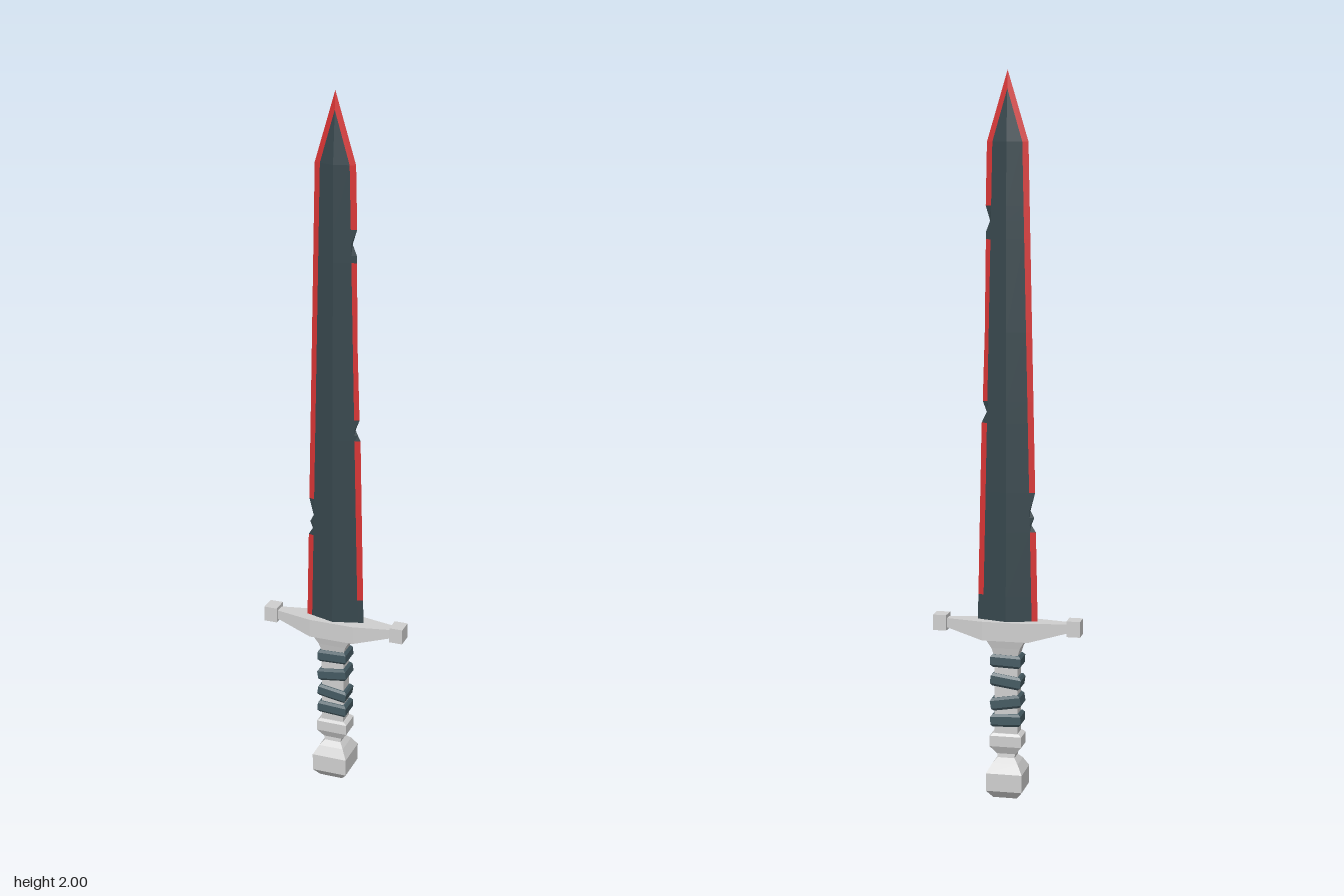
import * as THREE from 'three';

const mat = (name, color) => {
  const m = new THREE.MeshStandardMaterial({ color, flatShading: true });
  m.name = name;
  return m;
};

// Skins a list of rings (each counter-clockwise seen from the far end) and caps both ends.
function loft(rings, keep = () => true, caps = true) {
  const pos = [];
  const tri = (a, b, c) => pos.push(...a, ...b, ...c);
  const n = rings[0].length;
  for (let r = 0; r < rings.length - 1; r++) {
    const a = rings[r], b = rings[r + 1];
    for (let i = 0; i < n; i++) {
      const j = (i + 1) % n;
      if (!keep(r, i)) continue;
      tri(a[i], a[j], b[j]);
      tri(a[i], b[j], b[i]);
    }
  }
  if (caps) {
    const a = rings[0], b = rings[rings.length - 1];
    for (let i = 1; i < n - 1; i++) {
      tri(a[0], a[i + 1], a[i]);
      tri(b[0], b[i], b[i + 1]);
    }
  }
  const g = new THREE.BufferGeometry();
  g.setAttribute('position', new THREE.Float32BufferAttribute(pos, 3));
  g.computeVertexNormals();
  return g;
}

// Stack of rectangular sections: [y, half width, half depth]
const stack = rows => loft(rows.map(([y, x, z]) => [[x, y, z], [x, y, -z], [-x, y, -z], [-x, y, z]]));

// Piecewise linear lookup in [[y, value], ...]
function sample(table, y) {
  for (let i = 1; i < table.length; i++) {
    const [y0, v0] = table[i - 1], [y1, v1] = table[i];
    if (y <= y1) return v0 + (v1 - v0) * (y - y0) / (y1 - y0);
  }
  return table[table.length - 1][1];
}

export function createModel() {
  const metal = mat('pale metal', 0xcfcfcf);
  const steel = mat('dark steel', 0x37474d);
  const red = mat('red edge', 0xd83434);
  const leather = mat('blue grey leather', 0x455a62);

  const sword = new THREE.Group();
  sword.name = 'sword';
  const add = (name, geo, material, parent = sword) => {
    const m = new THREE.Mesh(geo, material);
    m.name = name;
    parent.add(m);
    return m;
  };

  // Blade: diamond section, bevelled edges with nicks
  const halfWidth = [[0.49, 0.085], [1.81, 0.057], [2, 0]];
  const halfThick = [[0.49, 0.025], [1.81, 0.017], [2, 0]];
  const nicksR = [[0.49, 0], [1.05, 0], [1.065, 0.007], [1.08, 0.014], [1.11, 0.002],
    [1.3, 0.004], [1.57, 0.002], [1.6, 0.013], [1.64, 0], [2, 0]];
  const nicksL = [[0.49, 0], [0.75, 0], [0.77, 0.012], [0.79, 0.004], [0.81, 0.014], [0.86, 0], [2, 0]];
  const bareR = [[0.49, 0.57], [1.05, 1.11], [1.55, 1.64]];
  const bareL = [[0.75, 0.86]];
  const ys = [...new Set([...nicksR, ...nicksL, [0.57], [1.55], [1.81], [1.95]].map(p => p[0]))].sort((a, b) => a - b);
  const bladeRings = ys.map(y => {
    const w = sample(halfWidth, y), t = sample(halfThick, y);
    const inner = Math.max(0, w - 0.016);
    const z = w > 0 ? t * (1 - inner / w) : 0;
    const R = w - sample(nicksR, y), L = w - sample(nicksL, y);
    return [[R, y, 0], [inner, y, -z], [0, y, -t], [-inner, y, -z],
      [-L, y, 0], [-inner, y, z], [0, y, t], [inner, y, z]];
  });
  const isRed = (row, side) => {
    if (side !== 0 && side !== 7 && side !== 3 && side !== 4) return false;
    const mid = (ys[row] + ys[row + 1]) / 2;
    const bare = side === 0 || side === 7 ? bareR : bareL;
    return !bare.some(([a, b]) => mid > a && mid < b);
  };
  const blade = new THREE.Group();
  blade.name = 'blade';
  sword.add(blade);
  add('bladeBody', loft(bladeRings, (r, i) => !isRed(r, i), false), steel, blade);
  add('bladeEdges', loft(bladeRings, isRed, false), red, blade);

  // Cross guard: sections along x as [x, bottom, half depth]
  const guardRows = [[-0.175, 0.475, 0.013], [-0.065, 0.447, 0.036], [0.065, 0.447, 0.036], [0.175, 0.475, 0.013]];
  add('guard', loft(guardRows.map(([x, b, z]) => [[x, b, -z], [x, 0.5, -z], [x, 0.5, z], [x, b, z]])), metal);
  for (const s of [-1, 1]) {
    add('guardEnd', new THREE.BoxGeometry(0.038, 0.044, 0.046), metal).position.set(s * 0.189, 0.488, 0);
  }
  add('guardCollar', stack([[0.405, 0.034, 0.024], [0.425, 0.04, 0.028], [0.45, 0.055, 0.034]]), metal);

  // Grip with slanted leather bands
  add('grip', stack([[0.17, 0.033, 0.023], [0.42, 0.033, 0.023]]), metal);
  const bands = [[0.388, 0.04], [0.331, 0.14], [0.27, -0.16], [0.22, -0.05]];
  for (const [y, tilt] of bands) {
    const b = add('gripBand', stack([[-0.018, 0.037, 0.026], [-0.011, 0.043, 0.031],
      [0.011, 0.043, 0.031], [0.018, 0.037, 0.026]]), leather);
    b.position.y = y;
    b.rotation.z = tilt;
  }

  // Lower ring, neck and pommel
  add('gripRing', stack([[0.122, 0.026, 0.02], [0.145, 0.045, 0.031], [0.175, 0.045, 0.031], [0.182, 0.036, 0.026]]), metal);
  add('pommel', stack([[0, 0.034, 0.034], [0.022, 0.051, 0.051], [0.072, 0.051, 0.051],
    [0.098, 0.036, 0.036], [0.112, 0.024, 0.022], [0.126, 0.026, 0.02]]), metal);

  return sword;
}
